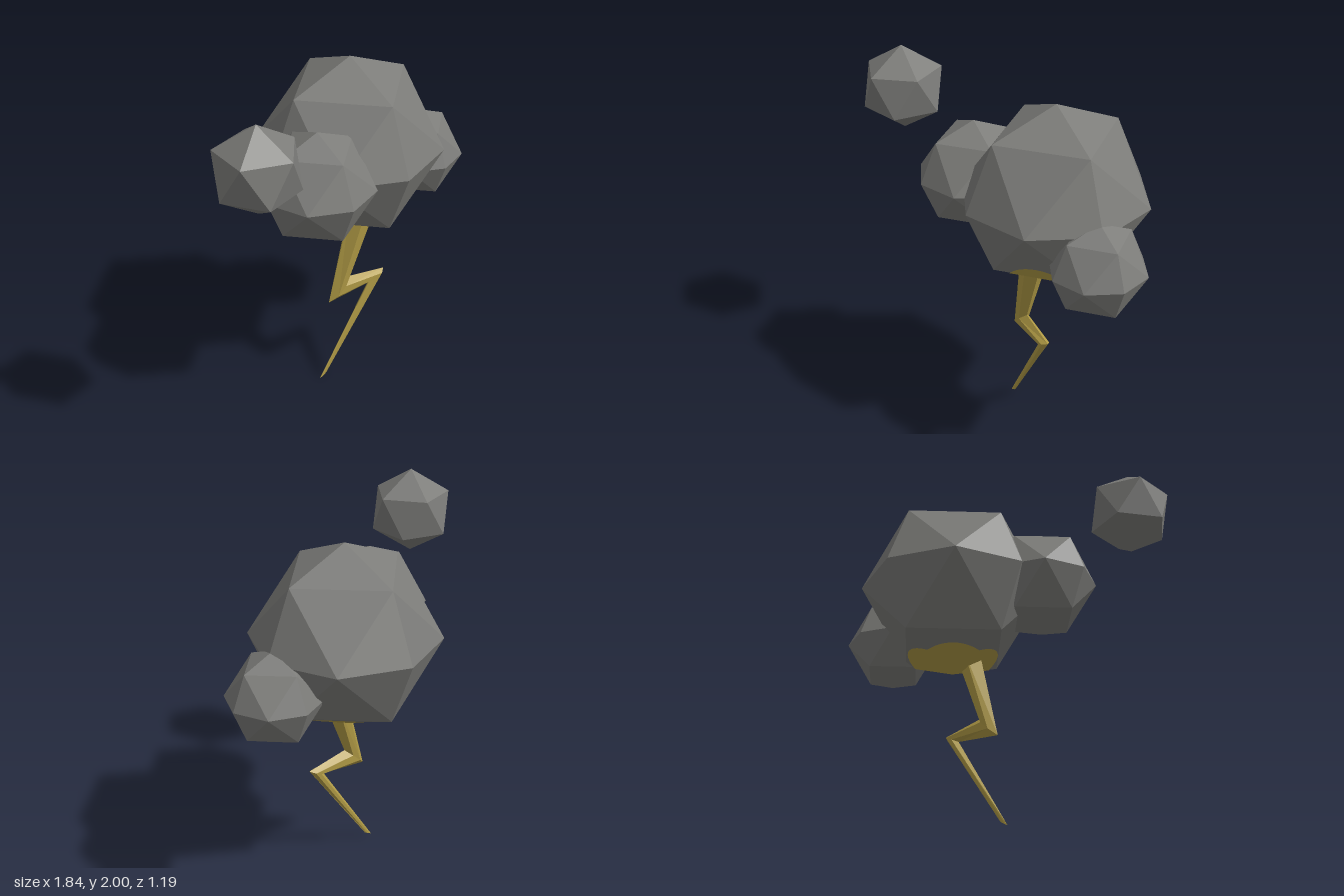
import * as THREE from 'three';

const cloudGrey = new THREE.MeshStandardMaterial({ color: 0x7c7c79 });
const boltYellow = new THREE.MeshStandardMaterial({ color: 0xb29c46 });

// Main puff: centre and radius
const C = new THREE.Vector3(0.19, 1.41, -0.085);
const R = 0.512;

function faceted(geometry) {
  const g = geometry.index ? geometry.toNonIndexed() : geometry;
  g.computeVertexNormals();
  return g;
}

function fromTriangles(positions) {
  const g = new THREE.BufferGeometry();
  g.setAttribute('position', new THREE.Float32BufferAttribute(positions, 3));
  return faceted(g);
}

function addMesh(group, name, geometry, material) {
  const mesh = new THREE.Mesh(geometry, material);
  mesh.name = name;
  group.add(mesh);
  return mesh;
}

// Zigzag bolt: hexagonal sections, each spanning a left and a right point
function boltGeometry() {
  const z0 = 0.035;
  const sections = [
    { l: [0.1, 1.05], r: [0.265, 1.05], h: 0.068 },
    { l: [-0.035, 0.515], r: [0.1, 0.64], h: 0.032 },
    { l: [0.25, 0.55], r: [0.35, 0.6], h: 0.024 },
    { l: [-0.1, 0.005], r: [-0.052, 0.032], h: 0.003 },
  ];
  const hex = [[0, 0], [0.33, 1], [0.72, 1], [1, 0], [0.72, -1], [0.33, -1]];
  const rings = sections.map(({ l, r, h }) => hex.map(([t, s]) => [
    l[0] + (r[0] - l[0]) * t, l[1] + (r[1] - l[1]) * t, z0 + s * h,
  ]));
  const out = [];
  for (let i = 0; i < rings.length - 1; i++) {
    for (let j = 0; j < 6; j++) {
      const k = (j + 1) % 6;
      const a = rings[i], b = rings[i + 1];
      out.push(...a[j], ...b[j], ...b[k], ...a[j], ...b[k], ...a[k]);
    }
  }
  // Close both ends
  const top = rings[0], tip = rings[rings.length - 1];
  for (let j = 1; j < 5; j++) {
    out.push(...top[0], ...top[j], ...top[j + 1]);
    out.push(...tip[0], ...tip[j + 1], ...tip[j]);
  }
  return fromTriangles(out);
}

// Round yellow patch that follows the facets under the main puff
function glowGeometry() {
  const cx = 0.045, cz = 0.05, radius = 0.25, n = 64;
  const point = (angle, d) => {
    const x = Math.cos(angle) * d, z = Math.sin(angle) * d;
    const s = Math.abs(x) + Math.abs(z);
    const y = Math.max(-R + s * (Math.SQRT2 - 1), s - R * Math.SQRT2);
    return [C.x + x, C.y + y - 0.004, C.z + z];
  };
  const rays = [];
  for (let i = 0; i <= n; i++) {
    const a = (i / n) * Math.PI * 2;
    const c = Math.cos(a), s = Math.sin(a);
    const along = c * cx + s * cz;
    const rim = along + Math.sqrt(along * along + radius * radius - cx * cx - cz * cz);
    const crease = (R * Math.SQRT1_2) / (Math.abs(c) + Math.abs(s));
    rays.push([point(a, 0), point(a, Math.min(rim, crease)), point(a, rim)]);
  }
  const out = [];
  for (let i = 0; i < n; i++) {
    const p = rays[i], q = rays[i + 1];
    out.push(...p[0], ...p[1], ...q[1]);
    out.push(...p[1], ...p[2], ...q[2], ...p[1], ...q[2], ...q[1]);
  }
  return fromTriangles(out);
}

export function createModel() {
  const model = new THREE.Group();
  model.name = 'stormCloud';

  // Cloud puffs
  const puffs = [
    ['mainPuff', C.x, C.y, C.z, R],
    ['rightPuff', -0.22, 1.41, 0.19, 0.31],
    ['leftPuff', 0.66, 1.21, -0.085, 0.26],
  ];
  for (const [name, x, y, z, r] of puffs) {
    const geometry = faceted(new THREE.OctahedronGeometry(r, 1));
    addMesh(model, name, geometry, cloudGrey).position.set(x, y, z);
  }

  // Loose puff, standing on one corner
  const loose = addMesh(model, 'loosePuff', faceted(new THREE.IcosahedronGeometry(0.24, 0)), cloudGrey);
  loose.rotation.z = -Math.atan(2 / (1 + Math.sqrt(5)));
  loose.position.set(-0.707, 1.76, 0.388);

  addMesh(model, 'undersideGlow', glowGeometry(), boltYellow);
  addMesh(model, 'lightningBolt', boltGeometry(), boltYellow);
  return model;
}
